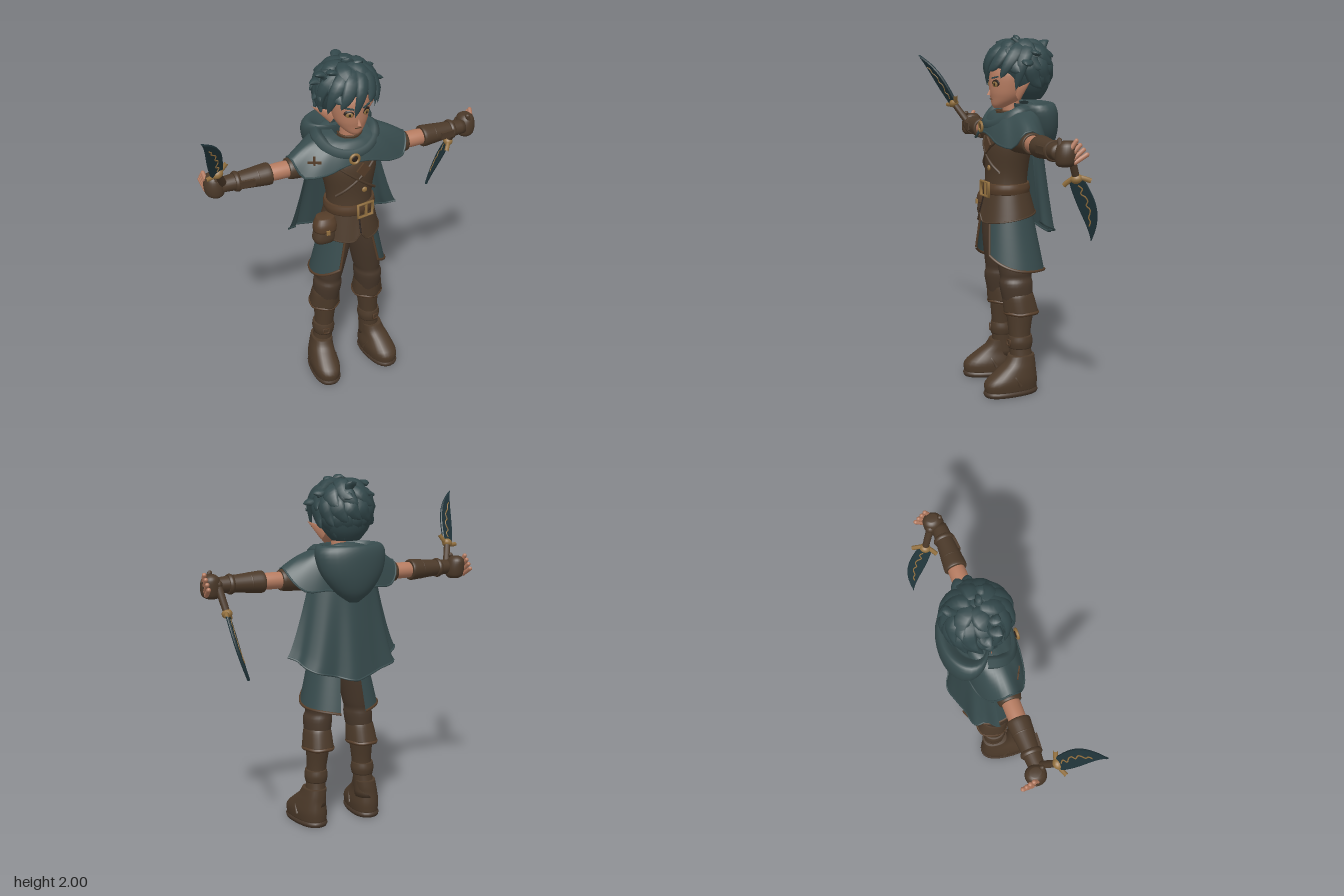
import * as THREE from 'three';
import { mergeGeometries } from 'three/addons/utils/BufferGeometryUtils.js';

const V = (x, y, z) => new THREE.Vector3(x, y, z);
const { sin, cos, abs, max, sign, PI } = Math;
const mix = (a, b, t) => a + (b - a) * t;
const steps = (n, fn) => Array.from({ length: n }, (_, i) => fn(i / (n - 1), i));

// Grid surface from fn(u, v) -> [x, y, z]; u may wrap round, ends may be capped
function surf(fn, nu, nv, wrap = false, caps = false) {
  const w = wrap ? nu : nu + 1, pos = [], idx = [];
  for (let i = 0; i <= nv; i++) for (let j = 0; j < w; j++) pos.push(...fn(j / nu, i / nv));
  for (let i = 0; i < nv; i++) for (let j = 0; j < nu; j++) {
    const a = i * w + j, b = i * w + (j + 1) % w;
    idx.push(a, b, b + w, a, b + w, a + w);
  }
  if (caps) for (const i of [0, nv]) {
    const c = [0, 0, 0], n = pos.length / 3;
    for (let j = 0; j < w; j++) for (let k = 0; k < 3; k++) c[k] += pos[(i * w + j) * 3 + k] / w;
    pos.push(...c);
    for (let j = 0; j < w; j++) {
      const a = i * w + j, b = i * w + (j + 1) % w;
      i ? idx.push(n, a, b) : idx.push(n, b, a);
    }
  }
  const g = new THREE.BufferGeometry();
  g.setAttribute('position', new THREE.Float32BufferAttribute(pos, 3));
  g.setIndex(idx);
  g.computeVertexNormals();
  return g;
}

// Smooth loft through elliptical rings [height, centreX, centreZ, radiusX, radiusZ], bottom to top
function loft(rings, warp = () => 1, seg = 28) {
  const n = rings.length - 1, at = i => rings[Math.min(n, max(0, i))];
  return surf((u, v) => {
    const i = Math.min(n - 1, Math.floor(v * n)), t = v * n - i;
    const [y, cx, cz, rx, rz] = at(i).map((p1, k) => {
      const p0 = at(i - 1)[k], p2 = at(i + 1)[k], p3 = at(i + 2)[k];
      return p1 + .5 * t * (p2 - p0 + t * (2 * p0 - 5 * p1 + 4 * p2 - p3 + t * (3 * (p1 - p2) + p3 - p0)));
    });
    const a = u * 2 * PI, k = warp(a, v);
    return [cx + rx * k * sin(a), y, cz + rz * k * cos(a)];
  }, seg, n * 4, true, true);
}
// Rings of a slightly bulging strap of half-height h
const band = (y, cx, cz, rx, rz, h) => [-1, 0, 1].map(s => [y + s * h, cx, cz, rx - abs(s) * .006, rz - abs(s) * .006]);
// Loft laid along +x at arm height, from [distance, radius] pairs
const armLoft = pairs => loft(pairs.map(([t, r]) => [t, 0, -.004, r, r * 1.07])).rotateZ(-PI / 2).translate(0, 1.433, 0);
const box = (w, h, d, x, y, z, ry = 0, rz = 0) =>
  new THREE.BoxGeometry(w, h, d).rotateZ(rz).rotateY(ry).translate(x, y, z);
const tube = (pts, r) => new THREE.TubeGeometry(new THREE.CatmullRomCurve3(pts.map(p => V(...p))), 48, r, 6);
const hem = (fn, r) => tube(steps(33, u => fn(u, 0)), r);
const ball = (r, x, y, z, sx = 1, sy = 1, sz = 1, ry = 0) =>
  new THREE.SphereGeometry(r, 18, 12).scale(sx, sy, sz).rotateY(ry).translate(x, y, z);

function mirror(geo) {
  const g = geo.clone().scale(-1, 1, 1), src = Array.from(g.index.array);
  for (let i = 0; i < src.length; i += 3) [src[i], src[i + 1]] = [src[i + 1], src[i]];
  g.setIndex(src);
  return g;
}

// Tapered, flattened lock of hair through points
const HEAD = V(.01, 1.81, -.055);
function lock(pts, r) {
  const curve = new THREE.CatmullRomCurve3(pts);
  return surf((u, v) => {
    const p = curve.getPoint(v), T = curve.getTangent(v);
    const s = T.clone().cross(p.clone().sub(HEAD).add(V(.013, 0, .02))).normalize(), n = T.clone().cross(s);
    const k = r * Math.pow(1 - v, .7) * (.75 + .8 * v) + .0005, a = u * 2 * PI;
    return p.addScaledVector(s, k * cos(a)).addScaledVector(n, k * .5 * sin(a)).toArray();
  }, 8, 10, true, true);
}

export function createModel() {
  const mat = (name, color, side = THREE.FrontSide) => {
    const m = new THREE.MeshStandardMaterial({ color, side });
    m.name = name;
    return m;
  };
  const cloth = mat('teal cloth', 0x374b4d, THREE.DoubleSide), leather = mat('leather', 0x4b3929, THREE.DoubleSide);
  const hairM = mat('hair', 0x32474a), trouser = mat('trousers', 0x47372a), trim = mat('trim', 0x553d29);
  const skin = mat('skin', 0xb57b60), gold = mat('gold', 0x94713f), steel = mat('blade', 0x20343a), dark = mat('dark', 0x2a201b);

  const model = new THREE.Group(), body = new THREE.Group();
  model.name = 'adventurer';
  body.name = 'body';
  body.position.x = .045;
  model.add(body);
  const add = (name, geo, m, parent = body) => {
    const mesh = new THREE.Mesh(geo, m);
    mesh.name = name;
    parent.add(mesh);
  };
  const pair = (name, geo, m) => { add(name + 'Left', geo, m); add(name + 'Right', mirror(geo), m); };

  // Legs and boots
  pair('trouserLeg', loft([[.45, .14, -.01, .06, .075], [.61, .132, .005, .08, .095], [.66, .125, .005, .072, .09],
    [.71, .12, .005, .08, .097], [.87, .095, .01, .086, .115], [1.02, .07, .02, .08, .11]]), trouser);
  add('hips', loft([[.925, 0, .02, .05, .05], [.96, 0, .02, .11, .095], [1.05, 0, .02, .15, .125]]), trouser);
  pair('bootShaft', loft([[.12, .165, -.025, .062, .072], [.3, .15, -.01, .054, .06], [.47, .14, -.015, .066, .08]]), leather);
  const foot = g => g.rotateY(.12).translate(.175, 0, 0);
  const squarish = a => 1 + .07 * sin(2 * a) ** 2;
  pair('bootFoot', foot(loft([[.025, 0, .055, .078, .155], [.08, 0, .053, .082, .155], [.14, 0, .02, .07, .115],
    [.18, -.005, -.005, .064, .088], [.22, -.01, -.015, .06, .074]], squarish)), leather);
  pair('bootSole', foot(loft(band(.015, 0, .055, .084, .162, .015), squarish)), trouser);
  pair('bootInstepStrap', foot(tube(steps(7, u => [-.078 * cos(u * PI), .06 + .092 * sin(u * PI), .03 + .055 * sin(u * PI)]), .012)), leather);
  const cuffWave = (a, v) => 1 + .04 * (1 - v) * cos(5 * a);
  pair('bootCuff', loft([[.455, .142, -.022, .088, .098], [.55, .138, -.006, .079, .09], [.575, .136, -.003, .068, .084]], cuffWave), leather);
  pair('bootCuffTrim', loft(band(.46, .142, -.022, .092, .102, .01), cuffWave), trim);
  pair('ankleStrap', loft(band(.292, .152, -.012, .066, .072, .036)), leather);
  pair('ankleBuckle', new THREE.TorusGeometry(.022, .005, 6, 4).rotateZ(PI / 4).rotateY(.2).translate(.165, .292, .06), trim);

  // Torso, belt and jacket skirt
  add('jacket', loft([[1.0, 0, .02, .15, .128], [1.16, 0, .02, .132, .118], [1.25, 0, .015, .136, .118],
    [1.37, 0, .01, .16, .128], [1.45, 0, 0, .163, .122], [1.52, 0, -.02, .13, .1], [1.56, 0, -.02, .07, .07]]), leather);
  add('belt', loft(band(1.153, 0, .02, .149, .135, .03)), trim);
  add('beltBuckle', new THREE.TorusGeometry(.056, .009, 6, 4).rotateZ(PI / 4).scale(1.2, 1, 1).rotateY(.12).translate(.035, 1.153, .155), gold);
  add('beltPin', box(.012, .07, .012, .04, 1.153, .155), gold);
  const skirt = (u, v) => {
    const a = (u - .5) * 2 * PI, low = .99 - .025 * cos(a) + .05 * max(0, 1 - abs(a) / .22);
    return [mix(.175, .142, v) * sin(a), mix(low, 1.13, v), .015 + mix(.16, .128, v) * cos(a)];
  };
  add('jacketSkirt', surf(skirt, 56, 4), leather);
  add('jacketSkirtTrim', hem(skirt, .005), leather);
  add('jacketOpening', tube(steps(3, v => skirt(.5, v)), .005), dark);
  for (const s of [-1, 1]) {
    add('chestStrap', tube(steps(6, u => {
      const x = mix(-.12, .11, u);
      return [s * x, 1.25 + .18 * u, .014 + .122 * Math.sqrt(1 - (x / .165) ** 2)];
    }), .008), leather);
  }
  add('chestDiamond', box(.062, .062, .01, .03, 1.4, .138, .1, PI / 4), trim);
  add('jacketButton', ball(.016, .04, 1.27, .133, 1, 1, .5), gold);
  add('pouch', loft([[.965, -.18, .07, .058, .045], [1.0, -.18, .07, .066, .054], [1.1, -.17, .07, .05, .04]], squarish), leather);
  add('pouchFlap', loft([[1.04, -.176, .073, .066, .056], [1.08, -.174, .071, .066, .054], [1.12, -.17, .065, .05, .04]], squarish), trim);
  add('pouchClasp', box(.02, .025, .012, -.182, 1.045, .132, -.1), gold);

  // Split coat tails
  const tail = (u, v) => {
    const a = mix(mix(.5, .42, v), 2.85, u), low = .79 - .06 * sin(u * PI) * (1 - u) - .11 * u;
    return [mix(.225, .147, v) * Math.pow(sin(a), .85), mix(low, 1.06, v), mix(-.005, .015, v) + mix(.185, .132, v) * cos(a)];
  };
  pair('coatTail', surf(tail, 28, 8), cloth);
  pair('coatTailTrim', hem(tail, .008), trim);
  pair('coatTailFrontTrim', tube(steps(4, v => tail(0, v)), .007), trim);

  // Cape, shoulder mantle and lowered hood
  const cape = (u, v) => {
    const a = mix(1.68, 2 * PI - 1.68, u), d = 1 - v, e = abs(a - PI) / 1.46;
    const k = 1 + .06 * d * cos(a * 8) + .02 * d * sin(a * 13);
    return [mix(.33, .2, Math.pow(v, .8)) * k * sin(a), mix(.88 + .13 * Math.pow(e, 1.2), 1.46, v), mix(-.03, -.04, v) + mix(.195, .13, v) * k * cos(a)];
  };
  add('cape', surf(cape, 72, 14), cloth);
  add('capeHem', hem(cape, .006), cloth);
  const mantle = (u, v) => {
    const a = (u - .5) * 2 * PI, s = abs(sin(a)), c = cos(a), r = 1 - v;
    const low = 1.395 + .065 * max(0, c) ** 8 + .105 * s ** 10 - .02 * max(0, -c);
    return [mix(.085, .345, Math.pow(r, .75)) * sign(sin(a)) * Math.pow(s, .75), mix(1.6 - .03 * c, low, Math.pow(r, 1.5)) + .006 * r * cos(9 * a),
      mix(-.02, -.01, r) + mix(.085, .155, Math.pow(r, .6)) * sign(c) * Math.pow(abs(c), .75)];
  };
  add('mantle', surf(mantle, 72, 12), cloth);
  add('mantleHem', hem(mantle, .006), cloth);
  add('hood', loft([[1.31, 0, -.18, .03, .025], [1.37, 0, -.175, .11, .072], [1.47, 0, -.16, .185, .108], [1.58, 0, -.14, .21, .125],
    [1.625, 0, -.12, .175, .115], [1.57, 0, -.1, .11, .075]]), cloth);
  add('cowlRoll', tube(steps(9, u => {
    const a = mix(-2, 2, u);
    return [.165 * sin(a) - .015, 1.585 - .085 * max(0, cos(a)), -.01 + .12 * cos(a)];
  }), .036), cloth);
  add('brooch', new THREE.TorusGeometry(.026, .008, 8, 24).translate(-.033, 1.492, .156), gold);
  add('broochStone', ball(.02, -.033, 1.492, .152, 1, 1, .4), dark);
  const e = mantle(.5 - 1 / (2 * PI), .3);
  for (const rz of [0, PI / 2]) add('mantleEmblem', box(.075, .012, .008, e[0] + .01, e[1] + .005, e[2] + .01, -.5, rz), trim);

  // Neck and head
  add('neck', new THREE.CylinderGeometry(.045, .05, .16, 20).translate(.005, 1.57, -.01), skin);
  add('collar', new THREE.CylinderGeometry(.062, .075, .07, 20, 1, true).translate(.005, 1.545, .01), leather);
  add('collarTrim', new THREE.TorusGeometry(.062, .006, 6, 24).rotateX(PI / 2).translate(.005, 1.58, .01), trim);
  add('head', loft([[1.598, .01, .065, .02, .025], [1.615, .01, .05, .048, .052], [1.65, .01, .02, .08, .088], [1.7, .01, 0, .1, .115],
    [1.8, .01, -.02, .11, .128], [1.9, .01, -.03, .07, .08]]), skin);
  add('nose', new THREE.ConeGeometry(.012, .04, 8).rotateX(-.25).translate(.01, 1.688, .117), skin);
  add('mouth', box(.034, .004, .008, .01, 1.647, .107), trim);
  const ear = new THREE.ConeGeometry(.036, .14, 12).scale(1, 1, .4).rotateZ(-1).rotateY(.25).translate(.145, 1.712, -.03);
  for (const s of [-1, 1]) {
    const x = .01 + s * .05, ry = s * .42;
    add('eyeLash', ball(.029, x, 1.737, .098, 1, .68, .25, ry), dark);
    add('eyeIris', ball(.021, x, 1.731, .103, 1, .75, .25, ry), gold);
    add('eyePupil', ball(.008, x, 1.731, .107, 1, 1.1, .3, ry), dark);
    add('eyebrow', box(.05, .008, .008, x, 1.768, .103, ry, s * .2), hairM);
    add('ear', (s > 0 ? ear.clone() : mirror(ear)).translate(.01, 0, 0), skin);
  }

  // Hair: base cap, rows of broad swept locks, fringe and flyaway tips
  add('hairCap', loft([[1.645, .01, -.11, .08, .07], [1.7, .01, -.1, .125, .115], [1.78, .01, -.08, .152, .15],
    [1.86, .01, -.055, .147, .16], [1.94, .01, -.055, .1, .11], [1.972, .01, -.055, .02, .02]]), hairM);
  const locks = [];
  const P = (th, ph, k) => V(.15 * sin(th) * sin(ph), .155 * cos(th), .16 * sin(th) * cos(ph)).multiplyScalar(k).add(HEAD);
  for (const [n, t0, t1, gap, r] of [[6, .15, 1.1, 0, .06], [8, .6, 1.5, .6, .062], [8, 1.05, 1.95, 1.4, .06], [7, 1.5, 2.35, 1.9, .052]])
    for (let i = 0; i < n; i++) {
      const f = mix(gap, 2 * PI - gap, (i + .5) / n), j = sin(i * 7.3 + n) * .12;
      locks.push(lock([P(t0, f - .2, .93), P(mix(t0, t1, .45), f, 1.06), P(mix(t0, t1, .8) + j, f + .15, 1.09), P(t1 + j, f + .35, 1.24 + j * .5)], r));
    }
  [2.15, 1.98, 1.75, 2.05, 1.62, 1.8, 2.15].forEach((t, i) => {
    const f = -1.3 + i * .43;
    locks.push(lock([P(.4, .9 + f * .3, .98), P(.95, f + .25, 1.1), P(1.4, f + .05, 1.16), P(t, f - .15, 1.27)], .054));
  });
  for (const [x, y, z] of [[.08, 1.98, .01], [.02, 1.995, -.02], [-.12, 1.955, .03], [-.19, 1.95, .01], [-.2, 1.88, -.05],
    [.225, 1.84, -.02], [.2, 1.9, -.09], [-.19, 1.79, -.04], [.03, 1.965, -.22]]) {
    const tip = V(x, y, z), root = HEAD.clone().lerp(tip, .4);
    locks.push(lock([root, root.clone().lerp(tip, .6).add(V(0, .018, -.01)), tip], .055));
  }
  add('hairLocks', mergeGeometries(locks), hairM);

  // Arms, bracers and hands
  pair('sleeve', armLoft([[.1, .075], [.2, .068], [.345, .06], [.362, .048]]), leather);
  pair('upperArm', armLoft([[.32, .045], [.42, .046], [.5, .042]]), skin);
  pair('bracer', armLoft([[.462, .05], [.47, .06], [.52, .057], [.6, .05], [.74, .04]]), leather);
  for (const x of [.54, .655]) pair('bracerStrap', armLoft([[x - .014, .051], [x, .056], [x + .014, .05]]), leather);
  pair('bracerPlate', box(.085, .04, .014, .61, 1.435, .05, .08), leather);
  pair('fist', loft([[1.368, .765, -.02, .03, .035], [1.385, .768, -.022, .05, .052], [1.43, .77, -.025, .056, .058],
    [1.475, .772, -.03, .046, .052], [1.495, .772, -.03, .025, .03]]), leather);
  pair('fingers', mergeGeometries(steps(4, (_, f) =>
    new THREE.CapsuleGeometry(.0125, .07, 4, 8).rotateZ(-.12).rotateX(-1 + f * .14).translate(.812, 1.41 + f * .02, -.085 + f * .016))), skin);
  pair('thumb', new THREE.CapsuleGeometry(.014, .05, 4, 8).rotateZ(.4).translate(.77, 1.475, .01), leather);

  // Curved daggers: grip, horned guard, broad blade with gold inlay
  function dagger(name, base, along, convex) {
    const g = new THREE.Group(), D = along.normalize(), N = convex.cross(D).normalize();
    g.name = name;
    g.applyMatrix4(new THREE.Matrix4().makeBasis(D.clone().cross(N), D, N).setPosition(base));
    const s = new THREE.Shape();
    s.moveTo(-.04, 0);
    s.lineTo(.036, 0);
    s.bezierCurveTo(.07, .12, .1, .22, 0, .365);
    s.bezierCurveTo(.01, .27, -.035, .17, -.04, 0);
    const blade = new THREE.ExtrudeGeometry(s, { depth: .004, bevelThickness: .006, bevelSize: .004, bevelOffset: -.004, bevelSegments: 1, curveSegments: 16 });
    add('blade', blade.translate(0, 0, -.002), steel, g);
    for (const z of [-.008, .008])
      add('bladeInlay', tube(steps(11, (u, i) => [.002 + .027 * sin(u * 2.8) + .013 * sin(i * 2.2) * (1 - u * .7), .03 + i * .024, z]), .004), gold, g);
    add('guard', tube(steps(7, u => [.14 * u - .07, .02 - .03 * sin(u * PI), 0]), .013), gold, g);
    add('guardCollar', ball(.032, 0, -.005, 0, 1, .8, .9), gold, g);
    add('grip', new THREE.CylinderGeometry(.019, .021, .15, 12).translate(0, -.085, 0), leather, g);
    add('pommel', ball(.026, 0, -.165, 0), leather, g);
    model.add(g);
  }
  dagger('raisedDagger', V(-.74, 1.565, .085), V(-.13, .285, .18), V(.85, .45, -.1));
  dagger('loweredDagger', V(.757, 1.29, -.105), V(-.07, -.36, -.12), V(.5, .2, -.85));
  return model;
}
